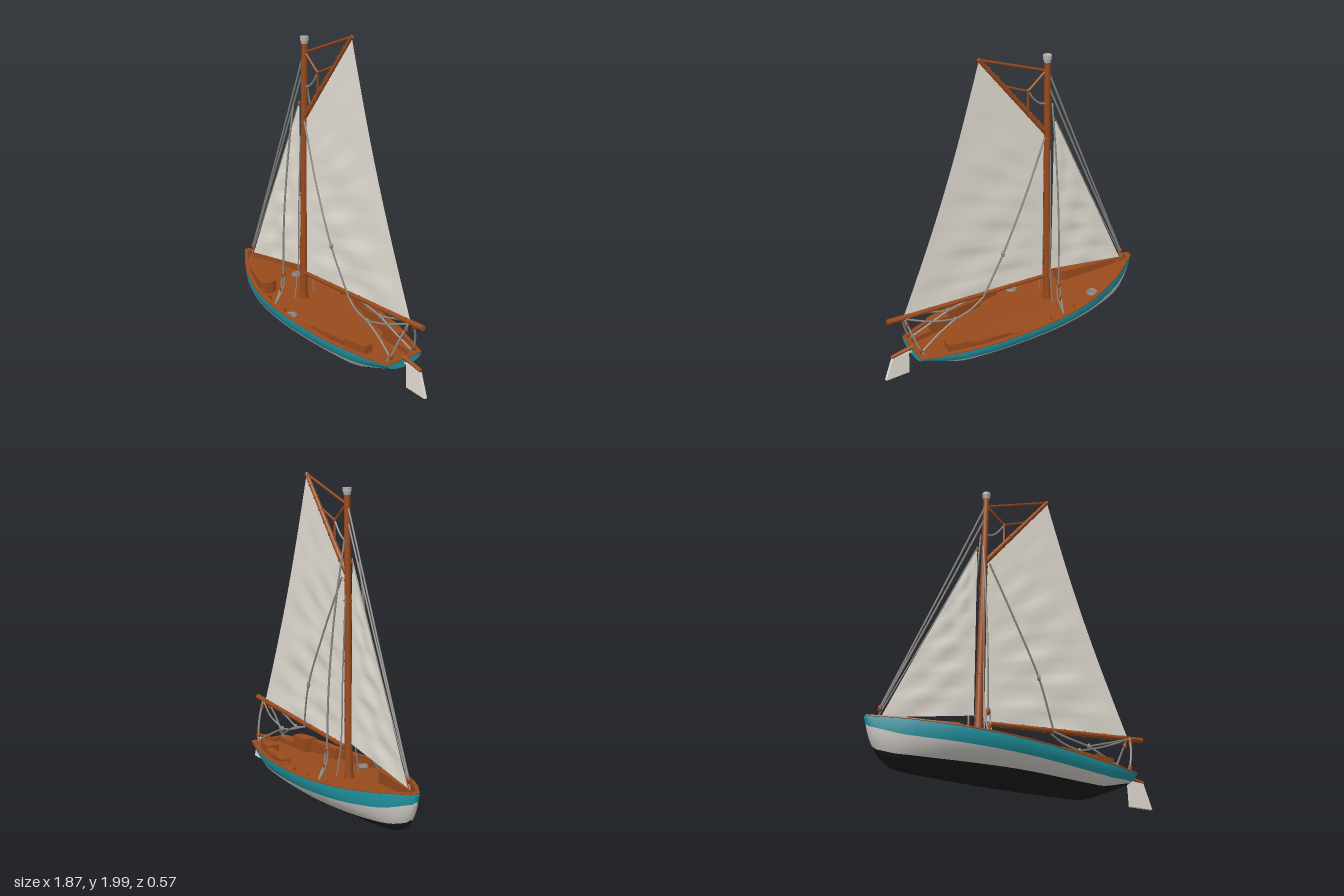
import * as THREE from 'three';
import { toCreasedNormals } from 'three/addons/utils/BufferGeometryUtils.js';

const mat = (name, color, side = THREE.FrontSide) => {
  const m = new THREE.MeshStandardMaterial({ color, side });
  m.name = name;
  return m;
};

// Smooth y(x) through a few [x, y] points
const profile = pts => x => {
  let i = 0;
  while (i < pts.length - 2 && x > pts[i + 1][0]) i++;
  const slope = k => {
    const a = pts[Math.max(k - 1, 0)], b = pts[Math.min(k + 1, pts.length - 1)];
    return (b[1] - a[1]) / (b[0] - a[0]);
  };
  const [x0, y0] = pts[i], [x1, y1] = pts[i + 1], h = x1 - x0, t = (x - x0) / h;
  const s = t * t * (3 - 2 * t);
  return y0 + (y1 - y0) * s + h * t * (1 - t) * ((1 - t) * slope(i) - t * slope(i + 1));
};

// Surface from a rule f(i, j) -> [x, y, z]; one group per strip j
function grid(ni, nj, f, material = () => 0) {
  const pos = [], idx = [], g = new THREE.BufferGeometry();
  for (let i = 0; i <= ni; i++) for (let j = 0; j <= nj; j++) pos.push(...f(i, j));
  for (let j = 0; j < nj; j++) {
    g.addGroup(idx.length, ni * 6, material(j));
    for (let i = 0; i < ni; i++) {
      const a = i * (nj + 1) + j, b = a + nj + 1;
      idx.push(a, b, b + 1, a, b + 1, a + 1);
    }
  }
  g.setAttribute('position', new THREE.Float32BufferAttribute(pos, 3));
  g.setIndex(idx);
  g.computeVertexNormals();
  return g;
}

// Hull lines along x
const BOW = -0.94, STERN = 0.74, NS = 48;
const beam = profile([[-0.94, 0.015], [-0.9, 0.04], [-0.8, 0.105], [-0.7, 0.157], [-0.5, 0.232], [-0.3, 0.27], [-0.1, 0.281], [0.2, 0.26], [0.4, 0.225], [0.6, 0.175], [0.74, 0.13]]);
const sheer = profile([[-0.94, 0.284], [-0.5, 0.238], [0, 0.206], [0.4, 0.184], [0.74, 0.176]]);
const keel = profile([[-0.94, 0.27], [-0.925, 0.21], [-0.89, 0.125], [-0.825, 0.05], [-0.74, 0.014], [-0.5, 0.008], [0.3, 0.008], [0.46, 0.012], [0.56, 0.05], [0.74, 0.128]]);
const tealLine = profile([[-0.94, 0.228], [-0.73, 0.17], [0, 0.125], [0.5, 0.108], [0.74, 0.135]]);
const blackLine = profile([[-0.94, 0.125], [-0.76, 0.075], [0, 0.06], [0.46, 0.057], [0.56, 0.078], [0.66, 0.108], [0.74, 0.131]]);
const station = i => BOW + (STERN - BOW) * Math.pow(i / NS, 1.4);
const halfWidth = (x, y) => {
  const t = Math.min(1, Math.max(0, (y - keel(x)) / (sheer(x) - keel(x))));
  return beam(x) * Math.sqrt(1 - (1 - t) ** 2);
};
const floorY = x => Math.max(sheer(x) - 0.045, keel(x) + 0.012);

export function createModel() {
  const root = new THREE.Group();
  const wood = mat('wood', 0x984a1c);
  const teal = mat('teal paint', 0x2094a2), grey = mat('pale grey paint', 0xd0ccc6), black = mat('black paint', 0x1d1c1c);
  const canvas = mat('canvas', 0xe5e0d6, THREE.DoubleSide), line = mat('rope', 0x8a8883), metal = mat('metal', 0xb0ada7);

  const add = (name, geo, material, parent = root) => {
    const m = new THREE.Mesh(geo, material);
    m.name = name;
    parent.add(m);
    return m;
  };
  const V = p => new THREE.Vector3(...p);
  const bar = (name, a, b, r0, r1, material, sides = 12) => {
    const A = V(a), B = V(b), d = B.clone().sub(A);
    const m = add(name, new THREE.CylinderGeometry(r1, r0, d.length(), sides), material);
    m.position.copy(A).add(B).multiplyScalar(0.5);
    m.quaternion.setFromUnitVectors(new THREE.Vector3(0, 1, 0), d.normalize());
  };
  const rope = (name, pts, r = 0.006) =>
    add(name, new THREE.TubeGeometry(new THREE.CatmullRomCurve3(pts.map(V)), pts.length * 6, r, 6), line);
  const block = (name, p, r = 0.013, material = wood) => {
    const m = add(name, new THREE.SphereGeometry(r, 10, 8), material);
    m.position.set(...p);
    m.scale.set(0.9, 1.5, 0.9);
  };
  const bands = (name, a, b, r0, r1, n) => {
    for (let k = 1; k < n; k++) {
      const at = t => V(a).lerp(V(b), t).toArray(), t = k / n, r = r0 + (r1 - r0) * t + 0.003;
      bar(name, at(t - 0.004), at(t + 0.004), r, r, wood);
    }
  };
  const slab = (name, pts, y0, y1) => {
    const g = new THREE.ExtrudeGeometry(new THREE.Shape(pts.map(([x, z]) => new THREE.Vector2(x, -z))), { depth: y1 - y0, bevelEnabled: false });
    g.rotateX(-Math.PI / 2).translate(0, y0, 0);
    return add(name, g, wood);
  };

  // Hull skin: black bottom, grey band, teal topsides
  const R = 5, N = R * 3;
  const hullPoint = (x, j) => {
    const n = Math.abs(j), k = keel(x), s = sheer(x);
    const w1 = Math.max(k, Math.min(blackLine(x), s)), w2 = Math.max(w1, Math.min(tealLine(x), s));
    const levels = [k, w1, w2, s], b = Math.min(2, Math.floor(n / R)), t = (n - b * R) / R;
    const y = levels[b] + (levels[b + 1] - levels[b]) * (b === 0 ? t * t : t);
    return [x, y, Math.sign(j) * halfWidth(x, y)];
  };
  add('hull', grid(NS, N * 2, (i, j) => hullPoint(station(i), j - N),
    j => Math.floor((j < N ? N - 1 - j : j - N) / R)), [black, grey, teal]);
  add('transom', grid(1, N * 2, (i, j) => i ? [STERN, sheer(STERN), 0] : hullPoint(STERN, j - N)), teal);
  add('stemFace', grid(1, N * 2, (i, j) => i ? hullPoint(BOW, j - N) : [BOW, sheer(BOW), 0]), teal);

  // Rail, inner wall and deck in one lofted strip
  const deckRow = x => {
    const b = beam(x), s = sheer(x), f = floorY(x);
    const inner = Math.max(0.002, b - 0.024), fz = Math.max(0.001, Math.min(inner, halfWidth(x, f) - 0.008));
    const half = [[b - 0.001, s - 0.005], [b + 0.003, s - 0.003], [b + 0.002, s + 0.004], [inner, s + 0.005], [fz, f], [fz * 0.5, f + 0.003]];
    return [...half, [0, f + 0.004], ...half.slice().reverse().map(([z, y]) => [-z, y])];
  };
  const rows = Array.from({ length: NS + 1 }, (_, i) => deckRow(station(i)));
  add('deckAndRail', toCreasedNormals(grid(NS, 12, (i, j) => [station(i), rows[i][j][1], rows[i][j][0]]), 0.5), wood);
  const sternRail = add('sternRail', new THREE.BoxGeometry(0.026, 0.03, 0.235), wood);
  sternRail.position.set(0.725, 0.166, 0);
  const bowBlock = add('bowBlock', new THREE.CylinderGeometry(0.016, 0.014, 0.03, 12), wood);
  bowBlock.position.set(-0.915, 0.272, 0);

  // Foredeck locker with a rounded after end
  slab('foredeckLocker', [[-0.84, 0.025], [-0.46, 0.08], [-0.43, 0.1], [-0.42, 0.14], [-0.43, 0.18], [-0.47, 0.198], [-0.65, 0.15], [-0.76, 0.095]], 0.18, 0.267);

  // Side benches, lockers, slatted vents and knees
  for (const s of [1, -1]) {
    const edge = (x, inset) => [x, s * (beam(x) - inset)];
    slab('sideShelf', [[0, s * 0.215], [0.16, s * 0.205], edge(0.16, 0.02), edge(0, 0.02)], 0.15, 0.21);
    slab('bench', [[0.15, s * 0.17], [0.44, s * 0.15], edge(0.44, 0.03), edge(0.3, 0.03), edge(0.15, 0.03)], 0.14, 0.219);
    slab('sternLocker', [[0.42, s * 0.1], [0.56, s * 0.095], edge(0.56, 0.03), edge(0.42, 0.03)], 0.14, 0.23);
    slab('sternSeat', [[0.56, s * 0.085], [0.715, s * 0.075], edge(0.715, 0.03), edge(0.56, 0.03)], 0.145, 0.178);
    for (let k = 0; k < 7; k++) {
      const x = 0.3 + k * 0.018;
      const slat = add('ventSlat', new THREE.BoxGeometry(0.009, 0.022, 0.012), wood);
      slat.position.set(x, 0.204, s * (beam(x) - 0.026));
    }
    for (const x of [-0.34, -0.15]) {
      const knee = add('knee', new THREE.BoxGeometry(0.018, 0.04, 0.035), wood);
      knee.position.set(x, sheer(x) - 0.02, s * (beam(x) - 0.042));
    }
  }

  // Coiled ropes on deck
  for (const [x, z] of [[-0.53, -0.14], [-0.11, 0.21]]) {
    for (const r of [0.012, 0.023, 0.034]) {
      const coil = add('ropeCoil', new THREE.TorusGeometry(r, 0.006, 6, 20), line);
      coil.rotation.x = Math.PI / 2;
      coil.position.set(x, floorY(x) + 0.008, z);
    }
  }

  // Mast, gaff and boom
  const foot = [-0.262, 0.15, 0], top = [-0.23, 1.89, 0];
  bar('mast', foot, top, 0.025, 0.018, wood, 16);
  bands('mastHoop', [-0.257, 0.42, 0], [-0.236, 1.5, 0], 0.024, 0.02, 9);
  bar('mastCollar', [-0.262, 0.15, 0], [-0.261, 0.22, 0], 0.034, 0.029, wood, 16);
  bar('mastCapNeck', [-0.23, 1.872, 0], [-0.23, 1.895, 0], 0.02, 0.024, metal, 16);
  bar('mastCap', [-0.23, 1.893, 0], [-0.23, 1.916, 0], 0.027, 0.026, metal, 16);
  const throat = [-0.225, 1.425, 0], peak = [0.222, 1.988, 0];
  bar('gaff', throat, peak, 0.017, 0.012, wood);
  bands('gaffLashing', throat, peak, 0.017, 0.012, 8);
  const heel = [-0.25, 0.363, 0], end = [0.885, 0.44, 0];
  bar('boom', heel, end, 0.014, 0.017, wood);
  bands('boomLashing', heel, end, 0.014, 0.017, 8);

  // Sails with overlapping cloth panels
  const cloth = (name, luff, leech, panels, hollow) => {
    const nv = panels * 5, nu = 20;
    add(name, grid(nu, nv, (i, j) => {
      const u = i / nu, v = j / nv, p = Math.floor(v * panels), f = v * panels - p;
      const P = V(luff[0]).lerp(V(luff[1]), v), Q = V(leech[0]).lerp(V(leech[1]), v);
      Q.x -= hollow * Math.sin(Math.PI * v);
      P.lerp(Q, u);
      P.z += Math.sin(Math.PI * u) * (1 - v * v) * (0.012 * f * f + 0.008 * Math.sin(9 * u + 2.3 * p) * Math.sin(Math.PI * f));
      return P.toArray();
    }), canvas);
  };
  cloth('mainsail', [[-0.222, 0.375, 0], [-0.215, 1.43, 0]], [[0.775, 0.442, 0], [0.222, 1.975, 0]], 8, 0.03);
  cloth('jib', [[-0.85, 0.292, 0], [-0.292, 1.5, 0]], [[-0.288, 0.4, 0], [-0.287, 1.5, 0]], 7, 0);

  // Forestays and jib lines
  rope('forestay', [[-0.235, 1.82, 0], [-0.55, 1.07, 0], [-0.86, 0.34, 0]]);
  rope('innerStay', [[-0.237, 1.73, 0], [-0.54, 1.04, 0], [-0.855, 0.34, 0]]);
  rope('jibLuffLine', [[-0.285, 1.51, 0], [-0.58, 0.88, 0], [-0.87, 0.285, 0]], 0.004);
  rope('jibClewLine', [[-0.29, 0.4, 0], [-0.27, 0.395, 0], [-0.25, 0.4, 0]]);
  block('stayBlock', [-0.857, 0.34, 0], 0.014);
  block('jibHeadBlock', [-0.288, 1.49, 0], 0.01);

  // Peak halyard and bridle
  bar('peakHalyard', [-0.225, 1.82, 0], [0.222, 1.985, 0], 0.008, 0.008, wood, 8);
  const knot = [-0.1, 1.72, 0];
  for (const p of [[-0.22, 1.82, 0], [0.07, 1.793, 0], [-0.1, 1.59, 0]]) bar('bridleLeg', p, knot, 0.007, 0.007, wood, 8);
  rope('bridleTail', [knot, [-0.15, 1.65, 0], [-0.19, 1.62, 0], [-0.235, 1.61, 0]], 0.006);
  block('bridleBlock', knot, 0.01);

  // Paired shrouds, topping lifts and sheets
  for (const s of [1, -1]) {
    const x = s > 0 ? -0.275 : -0.25, y = s > 0 ? 1.49 : 1.62, z0 = s > 0 ? 0.055 : 0.03;
    rope('shroud', [[x, y, s * z0], [x, 1.25, s * 0.09], [x, 0.8, s * 0.135], [x, 0.39, s * 0.15]]);
    block('shroudBlock', [x, 0.38, s * 0.15], 0.016);
    for (const dx of [-0.012, 0.012]) rope('lanyard', [[x + dx, 0.38, s * 0.15], [x + dx, 0.29, s * 0.163], [x, 0.19, s * 0.215]]);
    block('lanyardBlock', [x, 0.285, s * 0.164], 0.016);
    rope('mastLine', [[-0.25, 1.3, s * 0.022], [-0.25, 0.8, s * 0.04], [-0.25, 0.4, s * 0.05], [-0.25, 0.2, s * 0.08]], 0.0045);
    rope('toppingLift', [[-0.21, 1.4, s * 0.02], [-0.05, 1.04, s * 0.05], [0.11, 0.69, s * 0.058], [0.23, 0.39, s * 0.02]]);
    block('liftBlock', [0.11, 0.69, s * 0.058], 0.013, line);
    rope('sheetFore', [[0.23, 0.385, s * 0.018], [0.34, 0.345, s * 0.045], [0.455, 0.32, s * 0.05]]);
    rope('sheetUpper', [[0.455, 0.32, s * 0.05], [0.62, 0.37, s * 0.05], [0.77, 0.425, s * 0.015]]);
    rope('sheetLower', [[0.455, 0.32, s * 0.05], [0.58, 0.26, s * 0.06], [0.7, 0.195, s * 0.08]]);
    rope('sheetAft', [[0.78, 0.43, s * 0.018], [0.755, 0.33, s * 0.06], [0.72, 0.22, s * 0.09], [0.7, 0.18, s * 0.1]], 0.007);
    block('sheetBlock', [0.455, 0.32, s * 0.05], 0.012, line);
    block('sternBlock', [0.72, 0.215, s * 0.09], 0.015);
    block('boomBlock', [0.775, 0.395, s * 0.03], 0.014);
  }

  // Rudder
  const blade = new THREE.Shape([[0.762, 0.165], [0.872, 0.158], [0.928, 0.003], [0.768, 0.003]].map(p => new THREE.Vector2(...p)));
  const rudder = new THREE.ExtrudeGeometry(blade, { depth: 0.02, bevelEnabled: false });
  add('rudder', rudder.translate(0, 0, -0.01), canvas);
  bar('rudderHead', [0.73, 0.186, 0], [0.878, 0.163, 0], 0.014, 0.012, wood);
  bar('rudderHinge', [0.735, 0.15, 0], [0.77, 0.15, 0], 0.008, 0.008, metal, 8);
  return root;
}
